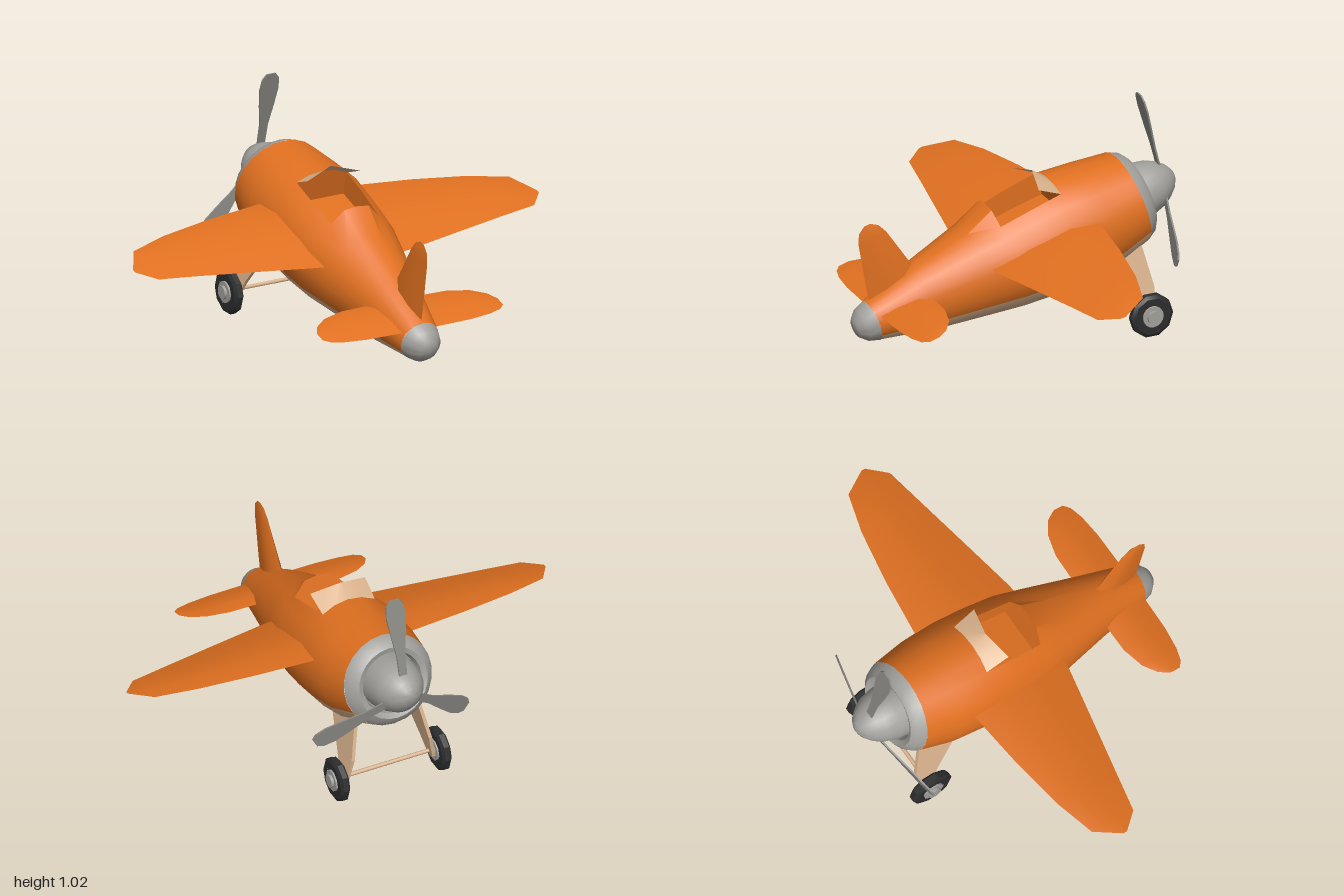
import * as THREE from 'three';
import { toCreasedNormals } from 'three/addons/utils/BufferGeometryUtils.js';

const V = (x, y, z) => new THREE.Vector3(x, y, z);
const mat = (name, color, side = THREE.FrontSide) => {
  const m = new THREE.MeshStandardMaterial({ color, side });
  m.name = name;
  return m;
};

// Skin closed rings of points; pick(i, j) gives the material index, or -1 for a gap.
function loft(rings, pick = () => 0, crease = 0.6) {
  const n = rings[0].length, lists = [[], []];
  for (let i = 0; i < rings.length - 1; i++) {
    for (let j = 0; j < n; j++) {
      const k = pick(i, j);
      if (k < 0) continue;
      const a = i * n + j, b = i * n + (j + 1) % n;
      lists[k].push(a, a + n, b, b, a + n, b + n);
    }
  }
  const g = new THREE.BufferGeometry().setFromPoints(rings.flat());
  g.setIndex(lists.flat());
  g.addGroup(0, lists[0].length, 0);
  if (lists[1].length) g.addGroup(lists[0].length, lists[1].length, 1);
  return toCreasedNormals(g, crease);
}

// Aerofoil skin; each section is [span, leading, trailing, thickness above, below, height].
const FOIL = [[0, 0], [0.25, -1], [0.65, -0.75], [1, 0], [0.65, 0.75], [0.25, 1]];
function foil(sections) {
  const rings = sections.map(([x, lead, trail, up, down, y]) => FOIL.map(([u, v]) =>
    V(x, y + v * (v > 0 ? up : down), -(lead + (trail - lead) * u))));
  return loft(rings, (i, j) => (j < 3 ? 1 : 0));
}
const mirrored = (half) => [...half.slice(1).reverse().map(([x, ...r]) => [-x, ...r]), ...half];

// Turned part along the fuselage axis; points are [radius, distance forward].
function turned(points) {
  const g = new THREE.LatheGeometry(points.map(([r, s]) => new THREE.Vector2(r, s)), 24);
  return toCreasedNormals(g.rotateX(-Math.PI / 2).translate(0, 0.01, 0), 0.6);
}

export function createModel() {
  const orange = mat('orange paint', 0xe07020);
  const orangeInner = mat('orange cockpit', 0xe07020, THREE.DoubleSide);
  const tan = mat('tan paint', 0xdcb48e);
  const tanSheet = mat('tan sheet', 0xdcb48e, THREE.DoubleSide);
  const grey = mat('grey metal', 0xa3a19d);
  const propGrey = mat('propeller grey', 0x8a8984);
  const black = mat('black rubber', 0x2c2d2e);

  const model = new THREE.Group();
  model.name = 'propellerPlane';
  const add = (parent, name, geometry, material) => {
    const m = new THREE.Mesh(geometry, material);
    m.name = name;
    parent.add(m);
    return m;
  };

  // Airframe sits nose-up on its gear, nose toward -z.
  const frame = new THREE.Group();
  frame.name = 'airframe';
  frame.position.y = 0.4;
  frame.rotation.x = 16 * Math.PI / 180;
  model.add(frame);

  // Fuselage stations: forward distance, top, bottom, half width, headrest rise
  const stations = [
    [0.565, 0.218, -0.2, 0.21, 0], [0.4, 0.248, -0.24, 0.24, 0], [0.24, 0.275, -0.25, 0.25, 0],
    [0.09, 0.265, -0.238, 0.247, 0], [-0.06, 0.25, -0.218, 0.235, 0.038], [-0.19, 0.228, -0.196, 0.205, 0],
    [-0.453, 0.175, -0.15, 0.142, 0], [-0.7, 0.104, -0.08, 0.092, 0]];
  const SEG = 24;
  const rings = stations.map(([s, top, bottom, w, rise]) => Array.from({ length: SEG }, (_, j) => {
    const a = j / SEG * Math.PI * 2, c = (top + bottom) / 2;
    const bump = Math.min(j, SEG - j) < 2 ? rise : 0;
    return V(w * Math.sin(a), c + (top - c) * Math.cos(a) + bump, -s);
  }));
  add(frame, 'fuselage', loft(rings, (i, j) => {
    if ((i === 2 || i === 3) && (j < 2 || j >= SEG - 2)) return -1;
    return j >= 8 && j < 16 ? 1 : 0;
  }), [orange, tan]);

  // Cockpit well: rim, floor edge, floor centre
  const arc = [22, 23, 0, 1, 2];
  const rim = [...arc.map(j => rings[2][j]), rings[3][2],
    ...arc.slice().reverse().map(j => rings[4][j]), rings[3][22]];
  add(frame, 'cockpitWell', loft([rim, rim.map(p => V(p.x, 0.13, p.z)), rim.map(() => V(0, 0.13, -0.09))]),
    [orangeInner]);

  // Windshield: a thin arched sheet leaning back
  const base = arc.map(j => rings[2][j].clone());
  const tip = base.map(p => {
    const k = 1 - Math.abs(p.x) / 0.125;
    return V(p.x * 1.05, 0.309 + 0.027 * k, -(0.148 + 0.039 * k));
  });
  add(frame, 'windshield', loft([base, tip], (i, j) => (j < 4 ? 0 : -1)), [tanSheet]);

  // Wings, tailplane and fin
  add(frame, 'wings', foil(mirrored([
    [0, 0.34, -0.2, 0.036, 0.02, 0.088], [0.23, 0.334, -0.172, 0.034, 0.02, 0.088],
    [0.5, 0.3, -0.116, 0.026, 0.015, 0.086], [0.75, 0.253, -0.064, 0.018, 0.01, 0.083],
    [0.93, 0.196, -0.028, 0.01, 0.006, 0.079], [1, 0.075, 0.055, 0, 0, 0.075]])), [orange, tan]);
  add(frame, 'tailplane', foil(mirrored([
    [0, -0.45, -0.685, 0.02, 0.014, 0.056], [0.26, -0.456, -0.68, 0.016, 0.01, 0.056],
    [0.36, -0.484, -0.668, 0.011, 0.007, 0.056], [0.42, -0.528, -0.65, 0.007, 0.005, 0.056],
    [0.447, -0.576, -0.625, 0, 0, 0.056]])), [orange, tan]);
  const fin = foil([
    [0.07, -0.44, -0.69, 0.03, 0.03, 0], [0.175, -0.455, -0.682, 0.025, 0.025, 0],
    [0.378, -0.522, -0.66, 0.012, 0.012, 0], [0.425, -0.548, -0.645, 0.007, 0.007, 0],
    [0.449, -0.582, -0.612, 0, 0, 0]]).rotateZ(Math.PI / 2);
  add(frame, 'fin', fin, [orange, orange]);

  // Metal nose and tail
  add(frame, 'cowl', turned([[0, 0.57], [0.13, 0.57], [0.14, 0.61], [0.163, 0.62],
    [0.19, 0.6], [0.209, 0.565]].reverse()), grey);
  add(frame, 'spinner', turned([[0.127, 0.57], [0.122, 0.64], [0.107, 0.7], [0.085, 0.737],
    [0.055, 0.772], [0.025, 0.79], [0, 0.796]]), grey);
  add(frame, 'tailCone', turned([[0, -0.792], [0.042, -0.782], [0.075, -0.748], [0.092, -0.7]]), grey);

  // Propeller: three paddle blades swept back
  const prop = new THREE.Group();
  prop.name = 'propeller';
  prop.position.set(0, 0.6, -0.71);
  model.add(prop);
  const outline = [[0.018, 0.05], [0.02, 0.18], [0.036, 0.28], [0.046, 0.36], [0.04, 0.41], [0.022, 0.434]];
  const blade = new THREE.Shape([...outline, ...outline.slice().reverse().map(([x, y]) => [-x, y])]
    .map(([x, y]) => new THREE.Vector2(x, y)));
  const bladeGeo = new THREE.ExtrudeGeometry(blade, { depth: 0.008, bevelEnabled: false });
  bladeGeo.applyMatrix4(new THREE.Matrix4().set(1, 0, 0, 0, 0, 1, 0, 0, 0, 0.26, 1, -0.004, 0, 0, 0, 1));
  for (const deg of [0, -119, 127]) {
    add(prop, 'blade', bladeGeo, propGrey).rotation.z = deg * Math.PI / 180;
  }

  // Landing gear: leaning leg plates, wheels, axle
  const legShape = new THREE.Shape([[-0.345, 0.33], [-0.53, 0.42], [-0.578, 0.21], [-0.565, 0.09],
    [-0.51, 0.09], [-0.47, 0.16]].map(([z, y]) => new THREE.Vector2(-z, y)));
  const tire = [[0.055, -0.022], [0.085, -0.022], [0.1, -0.012], [0.1, 0.012], [0.085, 0.022], [0.055, 0.022]];
  const tireGeo = toCreasedNormals(new THREE.LatheGeometry(
    tire.map(([r, y]) => new THREE.Vector2(r, y)), 10), 0.5).rotateZ(Math.PI / 2);
  const disc = (r, h, n = 16) => new THREE.CylinderGeometry(r, r, h, n).rotateZ(Math.PI / 2);
  for (const side of [1, -1]) {
    const leg = new THREE.ExtrudeGeometry(legShape, { depth: 0.016, bevelEnabled: false });
    leg.rotateY(Math.PI / 2);
    const p = leg.attributes.position;
    for (let i = 0; i < p.count; i++) {
      p.setX(i, p.getX(i) - 0.008 + side * (0.207 - 0.2 * (p.getY(i) - 0.1)));
    }
    leg.computeVertexNormals();
    add(model, 'gearLeg', leg, tan);
    const wheel = new THREE.Group();
    wheel.name = 'wheel';
    wheel.position.set(side * 0.243, 0.105, -0.537);
    model.add(wheel);
    add(wheel, 'tire', tireGeo, black);
    add(wheel, 'rim', disc(0.058, 0.036), black);
    add(wheel, 'hub', disc(0.048, 0.054), grey);
    add(wheel, 'hubCap', disc(0.03, 0.078), grey);
  }
  add(model, 'axle', disc(0.009, 0.42, 8), tan).position.set(0, 0.108, -0.537);

  return model;
}
